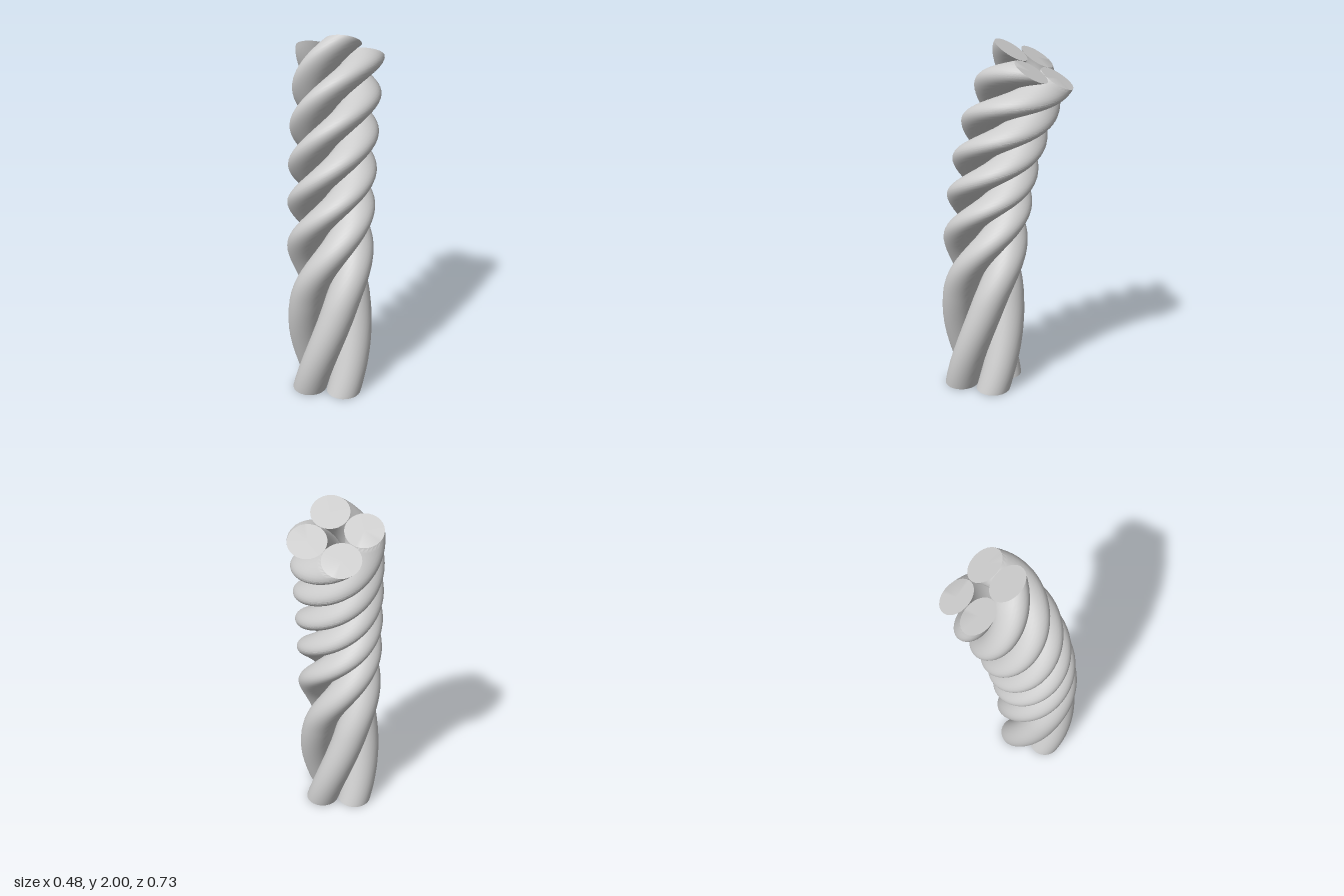
import * as THREE from 'three';
import { toCreasedNormals } from 'three/addons/utils/BufferGeometryUtils.js';

const LENGTH = 1.925;       // along the bent core
const STRAND_RADIUS = 0.098;
const STRAND_OFFSET = 0.14; // strand centre from the core
const END_TILT = 0.564;     // backward lean of the top end, radians
const START_Z = 0.133;
const STEPS = 110;

// Lean of the core: nearly straight below, curling backward near the top
const tiltAt = (s) => END_TILT * Math.pow(s / LENGTH, 2.6);

// Core position, integrated from the lean
function coreAt(s) {
  const n = 60, ds = s / n;
  let y = 0, z = START_Z;
  for (let i = 0; i < n; i++) {
    const tilt = tiltAt((i + 0.5) * ds);
    y += Math.cos(tilt) * ds;
    z -= Math.sin(tilt) * ds;
  }
  return { y, z };
}

// Twist in radians: slow at the base, ramping up to a tight constant rate
function twistAt(s) {
  const slow = 145, fast = 443, a = 0.55, b = 1.15;
  const ramp = THREE.MathUtils.clamp(s - a, 0, b - a);
  const degrees = 45 + slow * s + (fast - slow) * (ramp * ramp / (2 * (b - a)) + Math.max(0, s - b));
  return THREE.MathUtils.degToRad(degrees);
}

// Twists a straight strand round the core and bends it
function strandGeometry(startAngle) {
  const geometry = new THREE.CylinderGeometry(STRAND_RADIUS, STRAND_RADIUS, LENGTH, 28, STEPS);
  geometry.translate(0, LENGTH / 2, STRAND_OFFSET);
  const rings = Array.from({ length: STEPS + 1 }, (_, i) => {
    const s = (i / STEPS) * LENGTH;
    return { ...coreAt(s), tilt: tiltAt(s), turn: startAngle + twistAt(s) };
  });
  const p = geometry.attributes.position;
  for (let i = 0; i < p.count; i++) {
    const index = THREE.MathUtils.clamp(Math.round((p.getY(i) / LENGTH) * STEPS), 0, STEPS);
    const { y, z, tilt, turn } = rings[index];
    const c = Math.cos(turn), k = Math.sin(turn);
    const across = p.getX(i) * c + p.getZ(i) * k;
    const depth = -p.getX(i) * k + p.getZ(i) * c;
    p.setXYZ(i, across, y + depth * Math.sin(tilt), z + depth * Math.cos(tilt));
  }
  return toCreasedNormals(geometry, 0.75);
}

export function createModel() {
  const group = new THREE.Group();
  group.name = 'twistedRope';
  const material = new THREE.MeshStandardMaterial({ color: 0xcccccc });

  // Four identical strands, a quarter turn apart
  for (let i = 0; i < 4; i++) {
    const strand = new THREE.Mesh(strandGeometry((i * Math.PI) / 2), material);
    strand.name = `strand${i + 1}`;
    group.add(strand);
  }
  return group;
}
